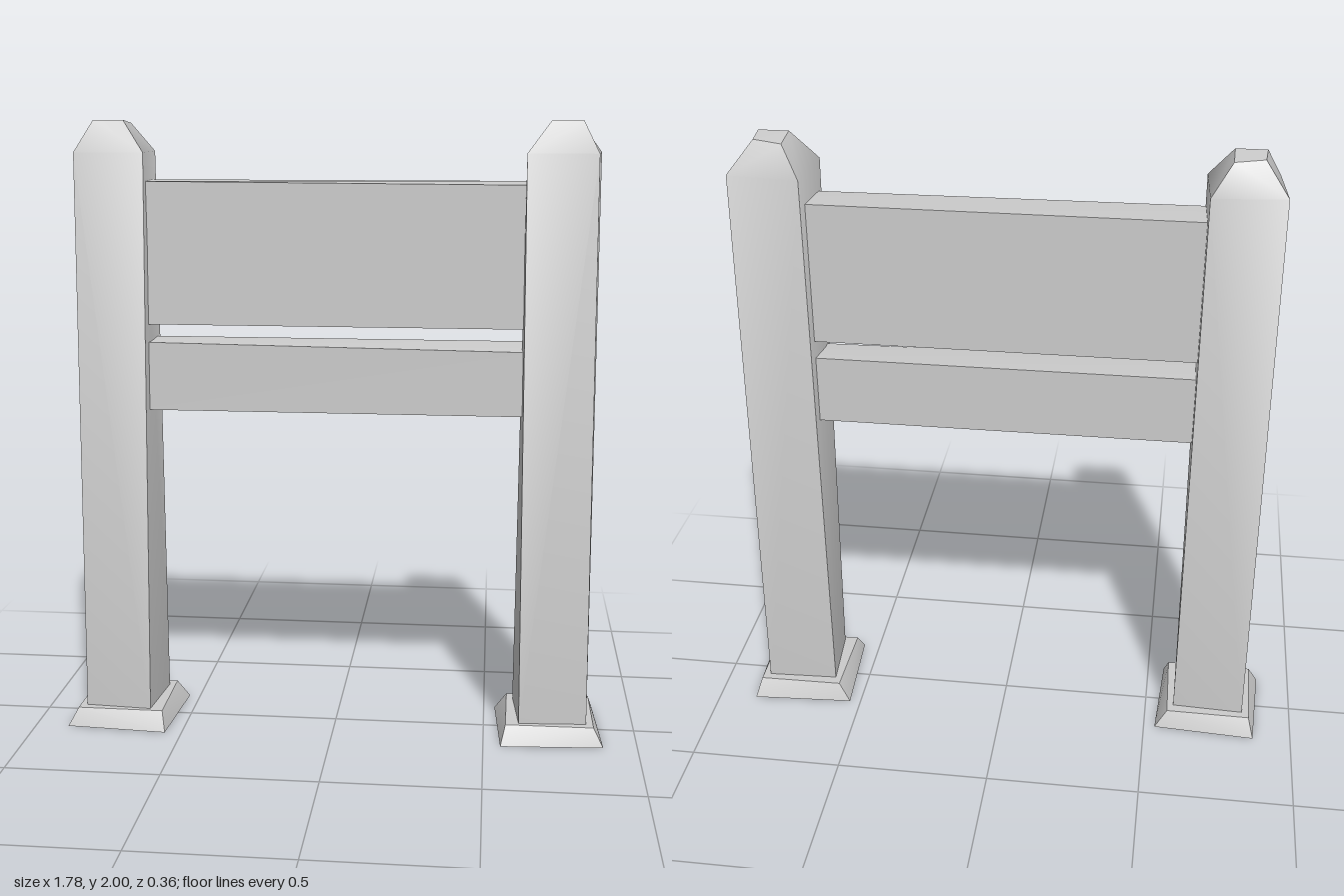
import * as THREE from 'three';
import { toCreasedNormals } from 'three/addons/utils/BufferGeometryUtils.js';

// Closed solid through four-cornered rings, listed bottom to top.
// Ring corners run front-inner, front-outer, back-outer, back-inner.
function loft(rings, side = 1) {
  const positions = rings.flat().flatMap(([x, y, z]) => [x * side, y, z]);
  const index = [];
  const quad = (a, b, c, d) =>
    side > 0 ? index.push(a, b, c, a, c, d) : index.push(a, c, b, a, d, c);
  for (let r = 0; r < rings.length - 1; r++) {
    for (let i = 0; i < 4; i++) {
      const j = (i + 1) % 4, lo = r * 4, hi = lo + 4;
      quad(lo + i, lo + j, hi + j, hi + i);
    }
  }
  const top = (rings.length - 1) * 4;
  quad(3, 2, 1, 0);
  quad(top, top + 1, top + 2, top + 3);
  const geometry = new THREE.BufferGeometry();
  geometry.setAttribute('position', new THREE.Float32BufferAttribute(positions, 3));
  geometry.setIndex(index);
  return toCreasedNormals(geometry, THREE.MathUtils.degToRad(44));
}

// Ring at one height from four [x, z] corners
const ring = (y, ...corners) => corners.map(([x, z]) => [x, y, z]);

export function createModel() {
  const group = new THREE.Group();
  const stone = new THREE.MeshStandardMaterial({ color: 0xcccccc });
  stone.name = 'light grey';
  const add = (name, geometry) => {
    const mesh = new THREE.Mesh(geometry, stone);
    mesh.name = name;
    group.add(mesh);
  };

  // Slightly twisted post with a chamfered cap
  const post = [
    ring(0.05, [0.615, 0.12], [0.835, 0.105], [0.832, -0.118], [0.597, -0.108]),
    ring(1.9, [0.597, 0.102], [0.815, 0.118], [0.835, -0.102], [0.608, -0.125]),
    [[0.672, 2, 0.043], [0.768, 2, 0.043], [0.762, 1.995, -0.04], [0.67, 1.99, -0.06]],
  ];
  // Skewed, flared foot
  const foot = [
    ring(0, [0.556, 0.175], [0.89, 0.153], [0.873, -0.18], [0.537, -0.16]),
    ring(0.06, [0.572, 0.135], [0.858, 0.133], [0.855, -0.145], [0.577, -0.142]),
  ];
  for (const side of [1, -1]) {
    const label = side > 0 ? 'left' : 'right';
    add(label + 'Post', loft(post, side));
    add(label + 'Foot', loft(foot, side));
  }

  // Boards between the posts; the front top edge dips towards +x
  const board = (bottom, top, dip) => loft([
    ring(bottom, [-0.63, 0.07], [0.63, 0.07], [0.63, -0.076], [-0.63, -0.076]),
    [[-0.63, top, 0.07], [0.63, top - dip, 0.07], [0.63, top, -0.076], [-0.63, top, -0.076]],
  ]);
  add('upperBoard', board(1.355, 1.81, 0.007));
  add('lowerBoard', board(1.075, 1.297, 0.015));
  return group;
}
